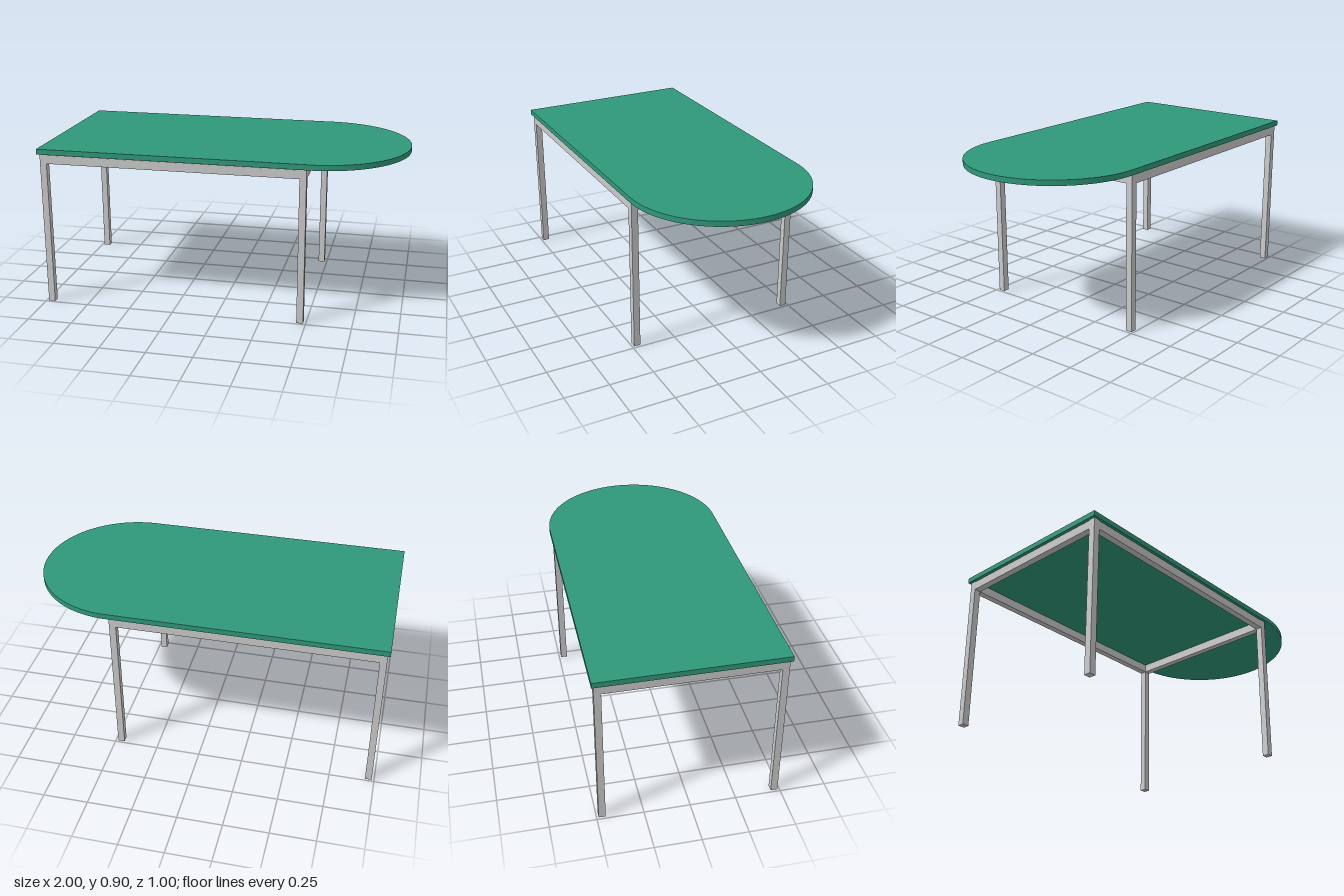
import * as THREE from 'three';

export function createModel() {
  const group = new THREE.Group();
  const steel = new THREE.MeshStandardMaterial({ color: 0xcccccc });
  const green = new THREE.MeshStandardMaterial({ color: 0x30997a });

  const addBox = (name, w, h, d, x, y, z) => {
    const mesh = new THREE.Mesh(new THREE.BoxGeometry(w, h, d), steel);
    mesh.name = name;
    mesh.position.set(x, y, z);
    group.add(mesh);
  };

  // Tabletop: rectangle with one semicircular end
  const topY = 0.9, thick = 0.03, radius = 0.5;
  const outline = new THREE.Shape();
  outline.moveTo(-1, -radius);
  outline.lineTo(0.5, -radius);
  outline.absarc(0.5, 0, radius, -Math.PI / 2, Math.PI / 2, false);
  outline.lineTo(-1, radius);
  outline.closePath();
  const slab = new THREE.ExtrudeGeometry(outline, { depth: thick, bevelEnabled: false, curveSegments: 48 });
  slab.rotateX(-Math.PI / 2);
  const tabletop = new THREE.Mesh(slab, green);
  tabletop.name = 'tabletop';
  tabletop.position.y = topY - thick;
  group.add(tabletop);

  // Square legs under the rectangular part
  const tube = 0.037, legH = topY - thick;
  const xBack = -0.968, xFront = 0.467, zLeg = 0.47;
  for (const x of [xBack, xFront])
    for (const z of [-zLeg, zLeg]) addBox('leg', tube, legH, tube, x, legH / 2, z);

  // Rails between the legs, just clear of the tabletop
  const railH = 0.049, railY = 0.8415;
  const span = xFront - xBack - tube;
  for (const z of [-zLeg, zLeg]) addBox('longRail', span, railH, tube, (xBack + xFront) / 2, railY, z);
  for (const x of [xBack, xFront]) addBox('crossRail', tube, railH, 2 * zLeg - tube, x, railY, 0);

  return group;
}
